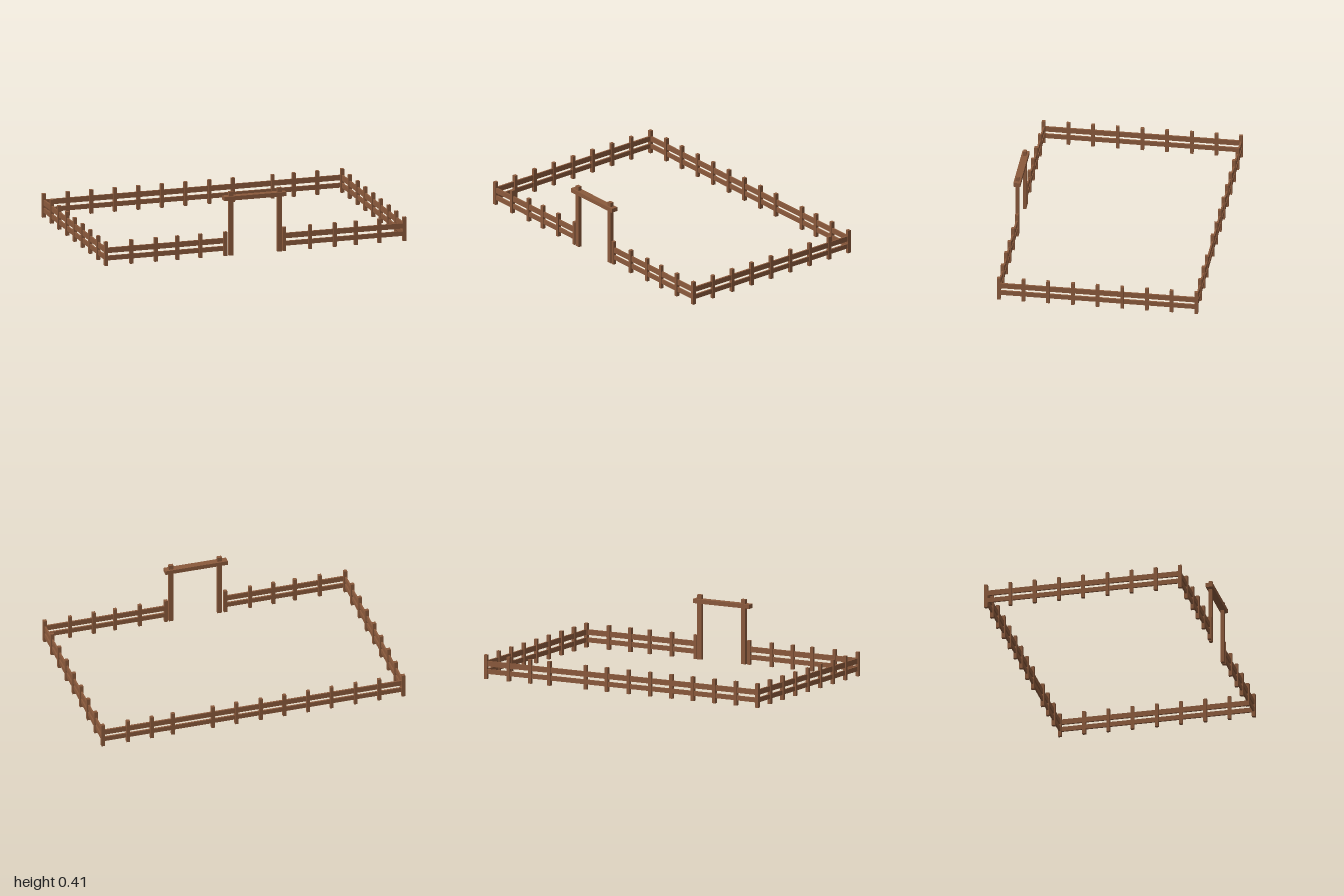
import * as THREE from 'three';

export function createModel() {
  const model = new THREE.Group();
  model.name = 'paddockFence';
  const wood = new THREE.MeshStandardMaterial({ color: 0x8b5a3c });
  wood.name = 'brown wood';

  // Box spanning y0..y1, centred on x and z
  const addBox = (name, parent, w, d, y0, y1, x, z) => {
    const mesh = new THREE.Mesh(new THREE.BoxGeometry(w, y1 - y0, d), wood);
    mesh.position.set(x, (y0 + y1) / 2, z);
    mesh.name = name;
    parent.add(mesh);
  };

  const side = 0.988, front = 0.624, back = -0.632;
  const post = 0.022, postTop = 0.155, railThick = 0.011;
  const rails = [[0.033, 0.063], [0.081, 0.115]];
  const addPost = (parent, x, z) => addBox('fencePost', parent, post, post, 0, postTop, x, z);
  const section = (name) => {
    const g = new THREE.Group();
    g.name = name;
    model.add(g);
    return g;
  };

  // Back run, with one wider bay
  const backFence = section('backFence');
  [-side, -0.83, -0.675, -0.517, -0.362, -0.206, -0.05, 0.109, 0.264, 0.527, 0.667, 0.823, side]
    .forEach((x) => addPost(backFence, x, back));
  for (const [y0, y1] of rails) addBox('rail', backFence, side * 2, railThick, y0, y1, 0, back);

  // Front runs either side of the gateway
  const frontRuns = {
    frontRightFence: [-side, -0.82, -0.657, -0.515, -0.362, -0.198],
    frontLeftFence: [0.192, 0.364, 0.527, 0.667, 0.823, side],
  };
  for (const [name, xs] of Object.entries(frontRuns)) {
    const run = section(name);
    xs.forEach((x) => addPost(run, x, front));
    const a = xs[0], b = xs[xs.length - 1];
    for (const [y0, y1] of rails) addBox('rail', run, b - a, railThick, y0, y1, (a + b) / 2, front);
  }

  // Side runs between the corner posts
  for (const s of [-1, 1]) {
    const run = section(s > 0 ? 'leftFence' : 'rightFence');
    for (let i = 1; i < 8; i++) addPost(run, s * side, front + (back - front) * i / 8);
    for (const [y0, y1] of rails)
      addBox('rail', run, railThick, front - back, y0, y1, s * side, (front + back) / 2);
  }

  // Gateway: two tall posts through a flat lintel
  const gate = section('gateway');
  for (const s of [-1, 1]) addBox('gatePost', gate, 0.03, 0.022, 0, 0.415, s * 0.16, front);
  addBox('lintel', gate, 0.41, 0.044, 0.36, 0.387, -0.005, front);

  return model;
}
